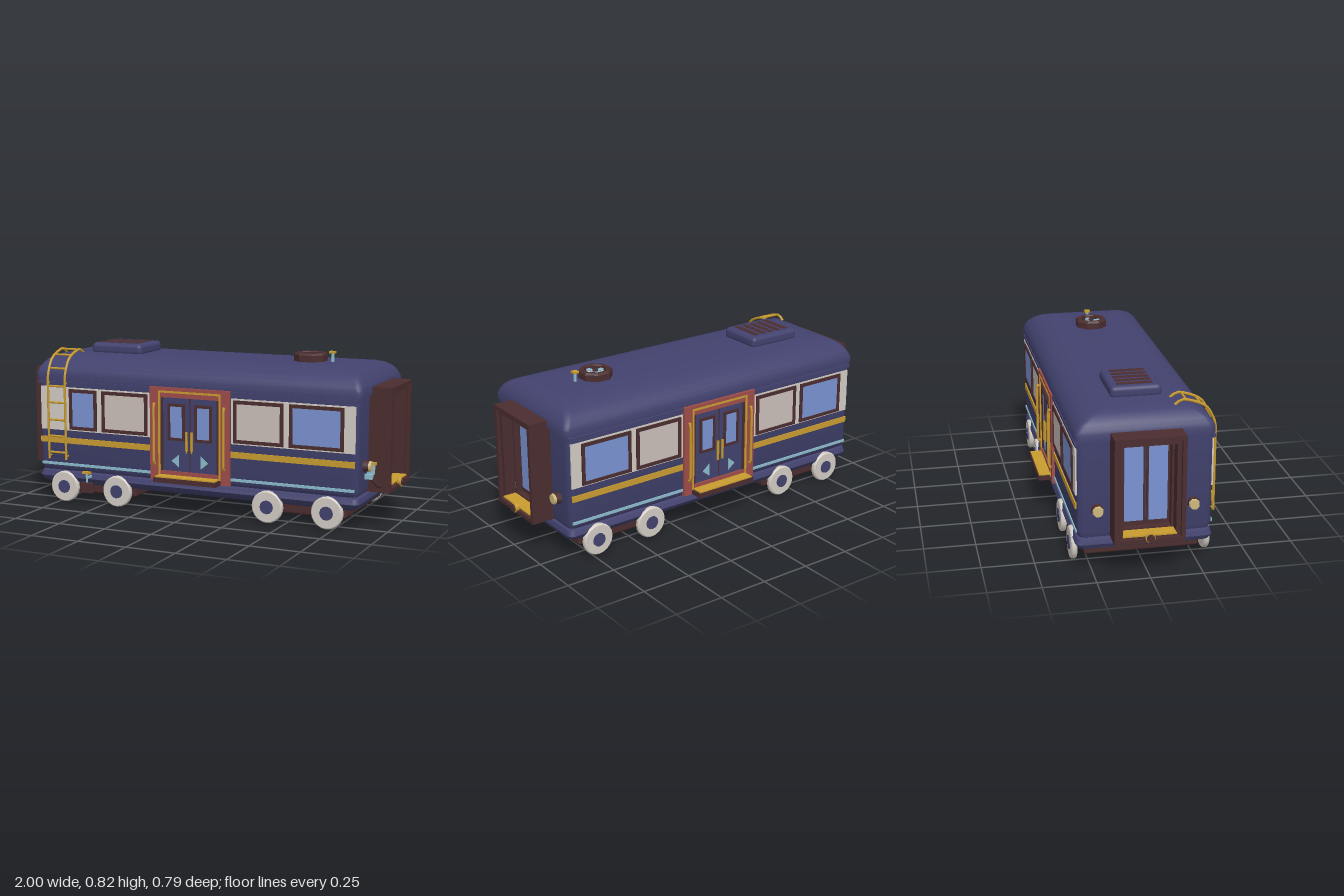
import * as THREE from 'three';
import { toCreasedNormals } from 'three/addons/utils/BufferGeometryUtils.js';
import { RoundedBoxGeometry } from 'three/addons/geometries/RoundedBoxGeometry.js';

const mat = (name, color) => new THREE.MeshStandardMaterial({ name, color });
const navy = mat('navy paint', 0x42426f);
const brown = mat('dark brown', 0x4b2d2f);
const gold = mat('brass', 0xc99c30);
const steel = mat('pale steel', 0x8cbccd);
const glass = mat('window blue', 0x7a93d2);
const cream = mat('cream', 0xd3ccc4);
const blind = mat('drawn blind', 0xcbc0b9);
const red = mat('door surround red', 0x9f4d4a);
const lamp = mat('lamp lens', 0xcdb97e);

function add(parent, name, geo, material, x = 0, y = 0, z = 0) {
  const m = new THREE.Mesh(geo, material);
  m.name = name;
  m.position.set(x, y, z);
  parent.add(m);
  return m;
}
// box given by its limits
function box(parent, name, material, x0, x1, y0, y1, z0, z1) {
  return add(parent, name, new THREE.BoxGeometry(x1 - x0, y1 - y0, z1 - z0), material,
    (x0 + x1) / 2, (y0 + y1) / 2, (z0 + z1) / 2);
}
// rectangular ring given by its outer limits and bar width
function frame(parent, name, material, x0, x1, y0, y1, t, z0, z1) {
  const rect = (P, a, b, c, d) => new P().moveTo(a, c).lineTo(b, c).lineTo(b, d).lineTo(a, d).closePath();
  const s = rect(THREE.Shape, x0, x1, y0, y1);
  s.holes.push(rect(THREE.Path, x0 + t, x1 - t, y0 + t, y1 - t));
  return add(parent, name, new THREE.ExtrudeGeometry(s, { depth: z1 - z0, bevelEnabled: false }), material, 0, 0, z0);
}
function rod(parent, name, material, points, r, sides = 6) {
  const curve = new THREE.CatmullRomCurve3(points.map(p => new THREE.Vector3(...p)), false, 'catmullrom', 0.15);
  return add(parent, name, new THREE.TubeGeometry(curve, points.length * 4, r, sides), material);
}
// closed hull from rounded rectangles stacked upward; each layer is [y, halfX, halfZ]
function hull(layers, r) {
  const loops = layers.map(([y, hx, hz]) => {
    const loop = [];
    for (let c = 0; c < 4; c++) for (let k = 0; k <= 4; k++) {
      const a = (c + k / 4) * Math.PI / 2;
      const sx = c === 0 || c === 3 ? 1 : -1, sz = c < 2 ? 1 : -1;
      loop.push([sx * (hx - r) + r * Math.cos(a), y, sz * (hz - r) + r * Math.sin(a)]);
    }
    return loop;
  });
  const pos = [], n = loops[0].length, tri = (...p) => p.forEach(q => pos.push(...q));
  const bottom = [0, layers[0][0], 0], top = [0, layers[layers.length - 1][0], 0];
  for (let i = 0; i < n; i++) {
    const j = (i + 1) % n;
    for (let l = 0; l < loops.length - 1; l++) {
      tri(loops[l][i], loops[l + 1][i], loops[l][j]);
      tri(loops[l][j], loops[l + 1][i], loops[l + 1][j]);
    }
    tri(bottom, loops[0][i], loops[0][j]);
    tri(top, loops[loops.length - 1][j], loops[loops.length - 1][i]);
  }
  const g = new THREE.BufferGeometry();
  g.setAttribute('position', new THREE.Float32BufferAttribute(pos, 3));
  return toCreasedNormals(g, 0.6);
}

// one long side, built facing +z
function makeSide(shortWindow) {
  const g = new THREE.Group();
  for (const s of [-1, 1]) {
    const span = (name, m, a, b, y0, y1, z0, z1) => box(g, name, m, Math.min(s * a, s * b), Math.max(s * a, s * b), y0, y1, z0, z1);
    span('windowBand', cream, 0.22, 0.855, 0.375, 0.6, 0.314, 0.322);
    span('brassStripe', gold, 0.22, 0.855, 0.307, 0.337, 0.316, 0.324);
    span('steelStripe', steel, 0.22, 0.855, 0.19, 0.204, 0.316, 0.323);
    span('gutter', navy, 0.22, 0.865, 0.615, 0.632, 0.31, 0.326);
    // windows
    for (const [a, b, pane] of [[0.235, 0.495, blind], [0.525, s < 0 && shortWindow ? 0.685 : 0.8, glass]]) {
      const x0 = Math.min(s * a, s * b), x1 = Math.max(s * a, s * b);
      frame(g, 'windowFrame', brown, x0, x1, 0.382, 0.592, 0.017, 0.316, 0.329);
      box(g, 'windowPane', pane, x0 + 0.015, x1 - 0.015, 0.397, 0.577, 0.318, 0.325);
    }
    // door leaf
    span('doorLeaf', navy, 0.004, 0.15, 0.195, 0.595, 0.314, 0.324);
    const w = s < 0 ? -0.12 : 0.027;
    frame(g, 'doorWindowFrame', brown, w, w + 0.093, 0.37, 0.555, 0.014, 0.32, 0.33);
    box(g, 'doorWindow', glass, w + 0.013, w + 0.08, 0.383, 0.542, 0.32, 0.327);
    rod(g, 'doorHandle', gold, [[s * 0.014, 0.31, 0.335], [s * 0.014, 0.42, 0.335]], 0.007);
    const arrow = new THREE.Shape([[0.06, 0.235], [0.06, 0.3], [0.1, 0.267]].map(p => new THREE.Vector2(s * p[0], p[1])));
    add(g, 'doorArrow', new THREE.ExtrudeGeometry(arrow, { depth: 0.006, bevelEnabled: false }), steel, 0, 0, 0.321);
    // grab rail
    const x = s * 0.19;
    rod(g, 'grabRail', gold, [[x, 0.25, 0.32], [x, 0.25, 0.344], [x, 0.545, 0.344], [x, 0.545, 0.32]], 0.007);
  }
  // doorway
  frame(g, 'doorSurround', red, -0.217, 0.217, 0.165, 0.635, 0.05, 0.3, 0.332);
  frame(g, 'doorTrim', gold, -0.17, 0.17, 0.185, 0.618, 0.01, 0.31, 0.335);
  frame(g, 'doorJamb', brown, -0.162, 0.162, 0.18, 0.609, 0.016, 0.31, 0.328);
  box(g, 'doorGap', brown, -0.006, 0.006, 0.195, 0.595, 0.312, 0.321);
  // boarding step
  box(g, 'step', brown, -0.17, 0.17, 0.166, 0.19, 0.3, 0.395);
  box(g, 'stepTread', gold, -0.163, 0.163, 0.188, 0.196, 0.325, 0.39);
  // wheels
  for (const x of [-0.72, -0.413, 0.413, 0.72]) {
    const tyre = [[0.032, -0.014], [0.074, -0.014], [0.08, -0.008], [0.08, 0.008], [0.074, 0.014], [0.032, 0.014]];
    const wheel = add(g, 'wheel', toCreasedNormals(new THREE.LatheGeometry(tyre.map(p => new THREE.Vector2(...p)), 20), 0.6), cream, x, 0.08, 0.317);
    wheel.rotation.x = Math.PI / 2;
    add(wheel, 'hub', new THREE.CylinderGeometry(0.034, 0.034, 0.037, 12), navy);
  }
  return g;
}

// one end, built facing +z
function makeEnd(withHose) {
  const g = new THREE.Group();
  frame(g, 'gangwayRim', brown, -0.165, 0.165, 0.167, 0.676, 0.02, 0.86, 0.982);
  frame(g, 'gangwayInnerFrame', brown, -0.15, 0.15, 0.18, 0.66, 0.026, 0.86, 0.965);
  box(g, 'gangwayFloor', gold, -0.125, 0.125, 0.2, 0.207, 0.865, 0.978);
  frame(g, 'endDoorFrame', brown, -0.126, 0.126, 0.2, 0.64, 0.013, 0.86, 0.91);
  for (const s of [-1, 1]) {
    box(g, 'endDoor', brown, s * 0.058 - 0.055, s * 0.058 + 0.055, 0.207, 0.63, 0.865, 0.878);
    box(g, 'endDoorGlass', glass, s * 0.057 - 0.044, s * 0.057 + 0.044, 0.237, 0.61, 0.875, 0.882);
    const rim = add(g, 'headlightRim', new THREE.CylinderGeometry(0.024, 0.03, 0.035, 8), brown, s * 0.225, 0.304, 0.882);
    rim.rotation.set(Math.PI / 2, Math.PI / 8, 0);
    const lens = add(g, 'headlightLens', new THREE.CylinderGeometry(0.024, 0.027, 0.012, 8), lamp, s * 0.225, 0.304, 0.902);
    lens.rotation.set(Math.PI / 2, Math.PI / 8, 0);
  }
  // coupler
  add(g, 'couplerRing', new THREE.CylinderGeometry(0.023, 0.023, 0.02, 12), gold, 0, 0.195, 0.982).rotation.x = Math.PI / 2;
  add(g, 'coupler', new THREE.CylinderGeometry(0.019, 0.019, 0.03, 12), brown, 0, 0.195, 0.985).rotation.x = Math.PI / 2;
  if (withHose) {
    rod(g, 'brakeHose', brown, [[-0.21, 0.25, 0.9], [-0.205, 0.225, 0.915], [-0.187, 0.202, 0.93], [-0.155, 0.2, 0.93], [-0.135, 0.225, 0.92], [-0.125, 0.25, 0.9]], 0.009);
    for (const x of [-0.21, -0.125]) box(g, 'hoseFitting', steel, x - 0.01, x + 0.01, 0.238, 0.262, 0.865, 0.91);
    add(g, 'valveStem', new THREE.CylinderGeometry(0.008, 0.008, 0.05, 8), steel, -0.172, 0.28, 0.9);
    box(g, 'valveBracket', steel, -0.18, -0.164, 0.255, 0.27, 0.86, 0.905);
    box(g, 'valveHandle', gold, -0.182, -0.162, 0.302, 0.315, 0.885, 0.915);
  }
  return g;
}

export function createModel() {
  const car = new THREE.Group();
  car.name = 'railCar';

  // shell
  add(car, 'skirt', hull([[0.095, 0.84, 0.29], [0.108, 0.865, 0.31], [0.13, 0.875, 0.324], [0.155, 0.87, 0.315], [0.165, 0.85, 0.3]], 0.03), navy);
  add(car, 'body', hull([[0.155, 0.845, 0.295], [0.165, 0.862, 0.308], [0.19, 0.87, 0.318], [0.645, 0.87, 0.318]], 0.03), navy);
  add(car, 'roof', hull([[0.64, 0.885, 0.325], [0.67, 0.885, 0.325], [0.69, 0.878, 0.316], [0.713, 0.866, 0.3],
    [0.735, 0.848, 0.272], [0.75, 0.825, 0.24], [0.759, 0.8, 0.2], [0.764, 0.765, 0.155]], 0.03), navy);

  // sides and ends
  const front = makeSide(true), back = makeSide(false), left = makeEnd(true), right = makeEnd(false);
  front.name = 'frontSide';
  back.name = 'backSide';
  left.name = 'leftEnd';
  right.name = 'rightEnd';
  back.rotation.y = Math.PI;
  left.rotation.y = Math.PI / 2;
  right.rotation.y = -Math.PI / 2;
  car.add(front, back, left, right);

  // bogies
  for (const s of [-1, 1]) add(car, 'bogie', new RoundedBoxGeometry(0.47, 0.06, 0.55, 2, 0.012), brown, s * 0.565, 0.075, 0);

  // roof vent
  add(car, 'roofVent', new RoundedBoxGeometry(0.29, 0.06, 0.244, 3, 0.022), navy, -0.52, 0.783, 0);
  for (let i = 0; i < 5; i++) box(car, 'ventSlot', brown, -0.632 + i * 0.047, -0.604 + i * 0.047, 0.808, 0.815, -0.085, 0.085);

  // roof fan
  const fan = new THREE.Group();
  fan.name = 'roofFan';
  fan.position.set(0.51, 0.76, 0);
  car.add(fan);
  const ring = [[0.055, 0], [0.084, 0], [0.084, 0.036], [0.076, 0.045], [0.058, 0.045], [0.055, 0.04], [0.055, 0]];
  const housing = new THREE.LatheGeometry(ring.map(p => new THREE.Vector2(...p)), 8).toNonIndexed();
  housing.computeVertexNormals();
  add(fan, 'fanHousing', housing, brown).rotation.y = Math.PI / 8;
  add(fan, 'fanDisc', new THREE.CylinderGeometry(0.057, 0.057, 0.02, 8), cream, 0, 0.012, 0).rotation.y = Math.PI / 8;
  for (let i = 0; i < 4; i++) {
    const blade = add(fan, 'fanBlade', new THREE.BoxGeometry(0.045, 0.005, 0.022).translate(0.03, 0, 0), steel, 0, 0.03, 0);
    blade.rotation.y = i * Math.PI / 2 + 0.25;
  }
  add(fan, 'fanHub', new THREE.CylinderGeometry(0.014, 0.014, 0.02, 8), brown, 0, 0.03, 0);
  add(car, 'whistleStem', new THREE.CylinderGeometry(0.008, 0.008, 0.05, 8), steel, 0.625, 0.785, 0);
  box(car, 'whistleCap', gold, 0.61, 0.64, 0.806, 0.816, -0.014, 0.014);

  // ladder
  const ladder = new THREE.Group();
  ladder.name = 'ladder';
  car.add(ladder);
  const path = [[0.225, 0.341], [0.65, 0.341], [0.73, 0.308], [0.757, 0.275], [0.776, 0.225], [0.784, 0.18], [0.76, 0.148]];
  for (const x of [-0.8, -0.7]) {
    rod(ladder, 'ladderRail', gold, path.map(([y, z]) => [x, y, z]), 0.007);
    for (const y of [0.24, 0.62]) rod(ladder, 'ladderBracket', gold, [[x, y, 0.31], [x, y, 0.341]], 0.005);
  }
  for (const [y, z] of [[0.26, 0.341], [0.345, 0.341], [0.43, 0.341], [0.52, 0.341], [0.605, 0.341], [0.695, 0.322], [0.76, 0.268], [0.782, 0.2]])
    rod(ladder, 'ladderRung', gold, [[-0.8, y, z], [-0.7, y, z]], 0.006);

  // brake lever
  add(car, 'leverWeight', new RoundedBoxGeometry(0.07, 0.058, 0.014, 2, 0.005), brown, -0.567, 0.093, 0.362);
  add(car, 'leverRod', new THREE.CylinderGeometry(0.006, 0.006, 0.055, 8), steel, -0.567, 0.142, 0.362);
  box(car, 'leverHandle', gold, -0.59, -0.544, 0.165, 0.178, 0.353, 0.371);
  box(car, 'leverArm', steel, -0.573, -0.561, 0.14, 0.15, 0.3, 0.362);
  return car;
}
